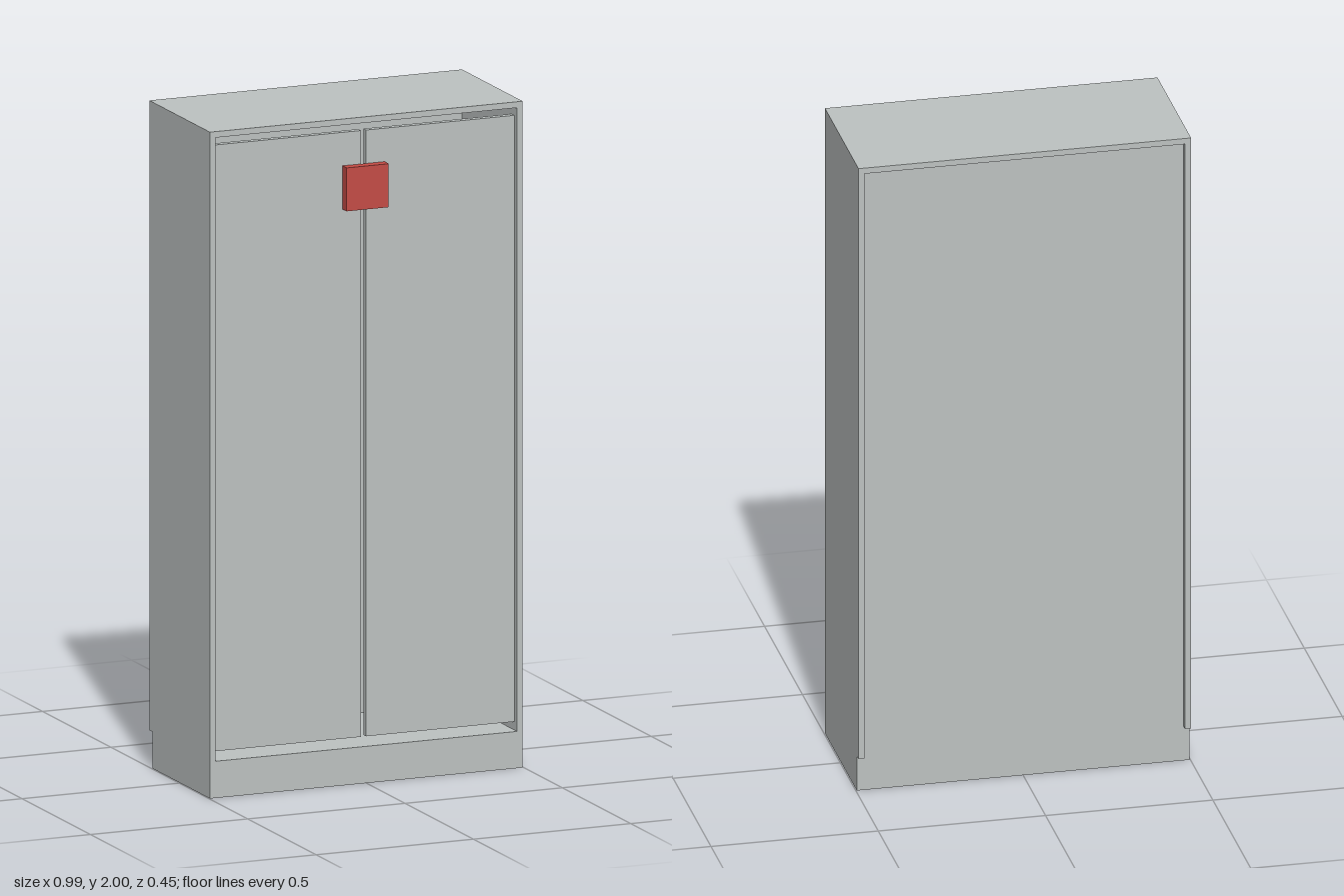
import * as THREE from 'three';

const W = 0.994, H = 1.995, FRONT = 0.217, BACK = -0.204, RIM = -0.226, T = 0.018;

export function createModel() {
  const root = new THREE.Group();
  root.name = 'cabinet';
  const grey = new THREE.MeshStandardMaterial({ color: 0xbdc2c1 });
  grey.name = 'grey panel';
  const red = new THREE.MeshStandardMaterial({ color: 0xc44b45 });
  red.name = 'red plate';

  // box given by its lower and upper limits
  const box = (name, x0, x1, y0, y1, z0, z1, mat = grey) => {
    const mesh = new THREE.Mesh(new THREE.BoxGeometry(x1 - x0, y1 - y0, z1 - z0), mat);
    mesh.position.set((x0 + x1) / 2, (y0 + y1) / 2, (z0 + z1) / 2);
    mesh.name = name;
    root.add(mesh);
  };

  const hw = W / 2, inner = hw - T, floor = 0.11, ceiling = H - T;

  // carcass: plinth, top, back and two sides
  box('plinth', -hw, hw, 0, floor, BACK, FRONT);
  box('topPanel', -hw, hw, ceiling, H, BACK, FRONT);
  box('backPanel', -inner, inner, floor, ceiling, BACK, BACK + T);
  for (const s of [-1, 1]) {
    const a = s * inner, b = s * hw;
    box(s > 0 ? 'leftSide' : 'rightSide', Math.min(a, b), Math.max(a, b), floor, ceiling, BACK, FRONT);
  }

  // recessed doors with gaps above, below and between
  box('rightDoor', -inner, -0.008, 0.135, 1.95, FRONT - 0.04, FRONT - 0.02);
  box('leftDoor', 0.008, inner, 0.135, 1.95, FRONT - 0.04, FRONT - 0.02);

  // raised rim around the sides and top of the back
  box('rearRimTop', -hw, hw, ceiling, H, RIM, BACK);
  box('rearRimRight', -hw, -inner, floor, ceiling, RIM, BACK);
  box('rearRimLeft', inner, hw, floor, ceiling, RIM, BACK);

  // square plate across the door gap
  box('doorPlate', -0.067, 0.067, 1.72, 1.85, FRONT - 0.02, 0.227, red);

  return root;
}
